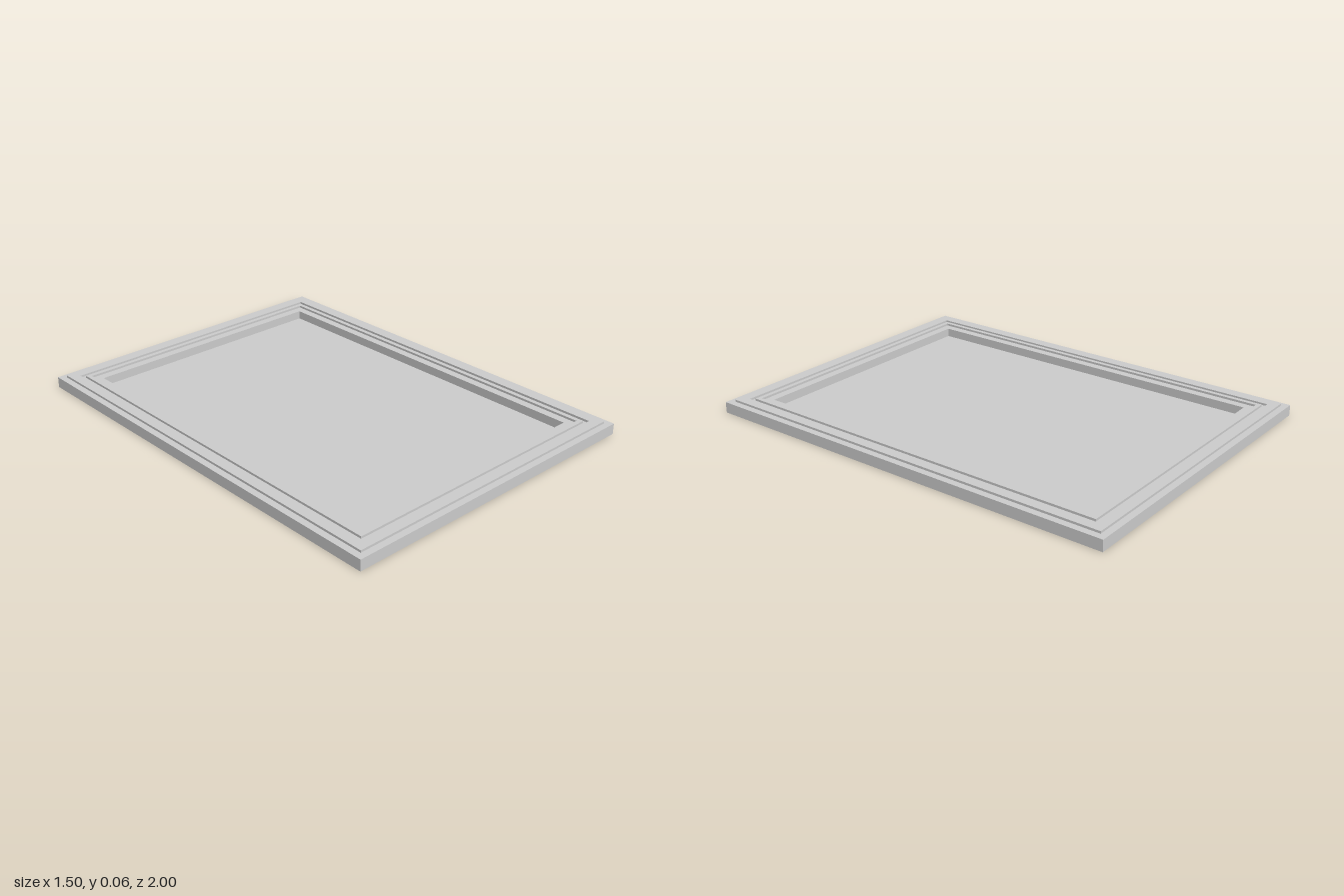
import * as THREE from 'three';

const WIDTH = 1.5, LENGTH = 2;
const material = new THREE.MeshStandardMaterial({ color: 0xcccccc, flatShading: true });

// Traces a rectangle set in from the outer edge by a given distance
function rectangle(path, inset) {
  const x = WIDTH / 2 - inset, y = LENGTH / 2 - inset;
  path.moveTo(-x, -y);
  path.lineTo(x, -y);
  path.lineTo(x, y);
  path.lineTo(-x, y);
  path.closePath();
  return path;
}

// Rectangular ring lying flat between two insets and two heights
function ring(name, outer, inner, bottom, top) {
  const shape = rectangle(new THREE.Shape(), outer);
  shape.holes.push(rectangle(new THREE.Path(), inner));
  const geometry = new THREE.ExtrudeGeometry(shape, { depth: top - bottom, bevelEnabled: false });
  geometry.rotateX(-Math.PI / 2);
  geometry.translate(0, bottom, 0);
  const mesh = new THREE.Mesh(geometry, material);
  mesh.name = name;
  return mesh;
}

export function createModel() {
  const group = new THREE.Group();
  group.name = 'pictureFrame';

  // Main border with two raised mouldings
  group.add(ring('frameBorder', 0, 0.15, 0, 0.05));
  group.add(ring('outerMoulding', 0.03, 0.075, 0.05, 0.06));
  group.add(ring('innerMoulding', 0.0925, 0.1125, 0.05, 0.06));

  // Thin recessed panel filling the opening
  const panel = new THREE.Mesh(new THREE.BoxGeometry(WIDTH - 0.3, 0.01, LENGTH - 0.3), material);
  panel.name = 'backPanel';
  panel.position.y = 0.005;
  group.add(panel);

  return group;
}
